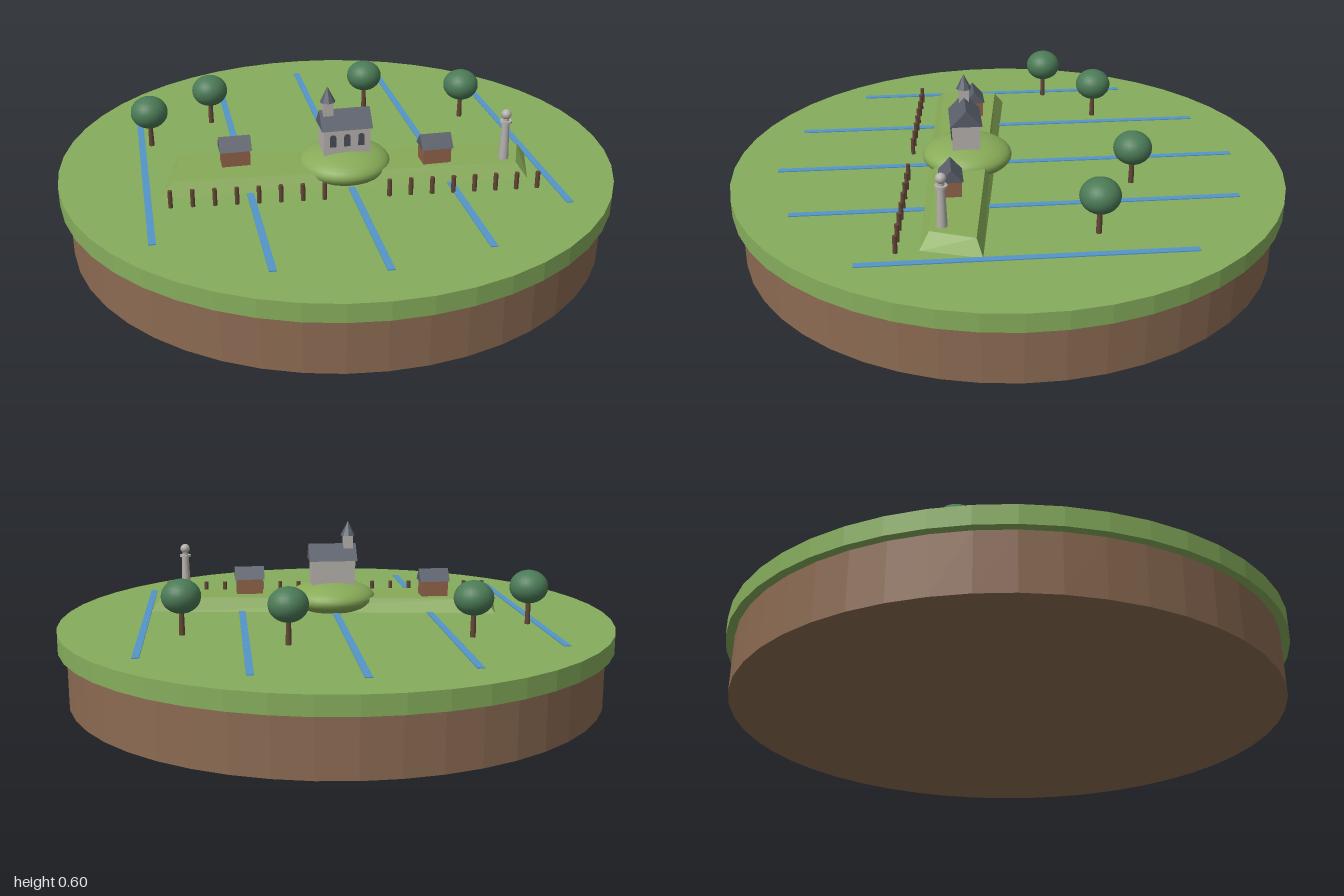
import * as THREE from 'three';

const mat = (name, color, extra = {}) => {
  const m = new THREE.MeshStandardMaterial({ color, ...extra });
  m.name = name;
  return m;
};

export function createModel() {
  const flat = { flatShading: true };
  const soil = mat('soil', 0x8b6a52, flat);
  const grass = mat('grass', 0x86ad5c, flat);
  const bank = mat('bankGrass', 0x88ab58);
  const water = mat('water', 0x5596c8);
  const stone = mat('stone', 0xb4b0ac);
  const slate = mat('slate', 0x5a5f6a, flat);
  const brick = mat('brick', 0x8f6248);
  const wood = mat('wood', 0x634636);
  const leaf = mat('leaf', 0x4b7a56);
  const glass = mat('windowGlass', 0x4a4e56);

  const model = new THREE.Group();
  const GROUND = 0.265, TOP = 0.315, TURN = -THREE.MathUtils.degToRad(20);

  const add = (parent, name, geo, material, x = 0, y = 0, z = 0) => {
    const m = new THREE.Mesh(geo, material);
    m.name = name;
    m.position.set(x, y, z);
    parent.add(m);
    return m;
  };
  const group = (name, x, y, z, turn = 0) => {
    const g = new THREE.Group();
    g.name = name;
    g.position.set(x, y, z);
    g.rotation.y = turn;
    model.add(g);
    return g;
  };

  // Round base: soil with a wider grass slab
  add(model, 'soilBase', new THREE.CylinderGeometry(0.97, 0.97, 0.2, 48), soil, 0, 0.1, 0);
  add(model, 'grassSlab', new THREE.CylinderGeometry(1, 1, 0.065, 48), grass, 0, 0.2325, 0);

  // Parallel ditches
  const ditches = [
    [-0.84, 0.27, -0.47, -0.75], [-0.595, 0.605, -0.065, -0.85], [-0.29, 0.785, 0.285, -0.79],
    [0.06, 0.84, 0.585, -0.61], [0.465, 0.745, 0.835, -0.275],
  ];
  for (const [x0, z0, x1, z1] of ditches) {
    const len = Math.hypot(x1 - x0, z1 - z0);
    const d = add(model, 'ditch', new THREE.BoxGeometry(0.024, 0.005, len), water,
      (x0 + x1) / 2, GROUND + 0.001, (z0 + z1) / 2);
    d.rotation.y = Math.atan2(x1 - x0, z1 - z0);
  }

  // Sloped bank: bottom and top outlines, front-left corner first
  const low = [[-0.70, 0], [0.465, 0.53], [0.595, 0.365], [-0.545, -0.235]];
  const high = [[-0.645, -0.01], [0.445, 0.485], [0.55, 0.368], [-0.533, -0.192]];
  const tris = [];
  const quad = (a, b, c, d) => tris.push(...a, ...b, ...c, ...a, ...c, ...d);
  const L = low.map(([x, z]) => [x, GROUND - 0.002, z]);
  const H = high.map(([x, z]) => [x, TOP, z]);
  for (let i = 0; i < 4; i++) {
    const j = (i + 1) % 4;
    quad(L[i], L[j], H[j], H[i]);
  }
  quad(...H);
  const bankGeo = new THREE.BufferGeometry();
  bankGeo.setAttribute('position', new THREE.Float32BufferAttribute(tris, 3));
  bankGeo.computeVertexNormals();
  add(model, 'bank', bankGeo, bank);

  // Mound under the church
  add(model, 'mound', new THREE.SphereGeometry(0.163, 32, 20), bank, -0.052, 0.307, 0.14)
    .scale.y = 0.38;

  // Gabled roof prism, ridge along x
  const roofGeo = (len, width, height) => {
    const s = new THREE.Shape();
    s.moveTo(-width / 2, 0);
    s.lineTo(width / 2, 0);
    s.lineTo(0, height);
    const g = new THREE.ExtrudeGeometry(s, { depth: len, bevelEnabled: false });
    return g.translate(0, 0, -len / 2).rotateY(Math.PI / 2);
  };

  // Church with tower, spire and arched windows
  const church = group('church', -0.055, 0.35, 0.145, TURN);
  add(church, 'churchWalls', new THREE.BoxGeometry(0.165, 0.11, 0.1), stone, 0, 0.047, 0);
  add(church, 'churchRoof', roofGeo(0.18, 0.115, 0.06), slate, 0, 0.1, 0);
  add(church, 'tower', new THREE.BoxGeometry(0.036, 0.195, 0.036), stone, -0.06, 0.0975, 0);
  add(church, 'spire', new THREE.ConeGeometry(0.028, 0.055, 8), slate, -0.06, 0.2175, 0);
  const arch = new THREE.Shape();
  arch.moveTo(-0.011, 0);
  arch.lineTo(0.011, 0);
  arch.lineTo(0.011, 0.034);
  arch.absarc(0, 0.034, 0.011, 0, Math.PI);
  const archGeo = new THREE.ExtrudeGeometry(arch, { depth: 0.004, bevelEnabled: false });
  for (const x of [-0.05, 0, 0.05]) add(church, 'churchWindow', archGeo, glass, x, 0.038, 0.049);

  // Two small houses
  for (const [x, z] of [[-0.395, -0.035], [0.215, 0.315]]) {
    const house = group('house', x, TOP, z, TURN);
    add(house, 'houseWalls', new THREE.BoxGeometry(0.1, 0.06, 0.07), brick, 0, 0.028, 0);
    add(house, 'houseRoof', roofGeo(0.112, 0.082, 0.045), slate, 0, 0.056, 0);
  }

  // Light tower: tapered shaft, gallery, lantern and cap
  const beacon = group('lightTower', 0.43, TOP - 0.002, 0.435);
  add(beacon, 'shaft', new THREE.CylinderGeometry(0.013, 0.018, 0.14, 16), stone, 0, 0.07, 0);
  add(beacon, 'gallery', new THREE.CylinderGeometry(0.021, 0.021, 0.008, 16), stone, 0, 0.143, 0);
  add(beacon, 'lantern', new THREE.CylinderGeometry(0.011, 0.011, 0.022, 16), stone, 0, 0.156, 0);
  add(beacon, 'cap', new THREE.SphereGeometry(0.018, 16, 10), stone, 0, 0.17, 0);

  // Trees
  for (const [x, z] of [[-0.55, -0.425], [-0.265, -0.505], [0.335, -0.325], [0.605, -0.04]]) {
    const tree = group('tree', x, GROUND, z);
    add(tree, 'trunk', new THREE.CylinderGeometry(0.008, 0.01, 0.1, 10), wood, 0, 0.05, 0);
    add(tree, 'crown', new THREE.SphereGeometry(0.068, 24, 16), leaf, 0, 0.135, 0).scale.y = 0.87;
  }

  // Row of posts with a gap in front of the mound
  const postGeo = new THREE.CylinderGeometry(0.008, 0.008, 0.062, 8);
  for (let i = 0; i < 18; i++) {
    if (i === 8 || i === 9) continue;
    add(model, 'post', postGeo, wood, -0.69 + i * 0.0668, GROUND + 0.03, 0.07 + i * 0.0312);
  }
  return model;
}
